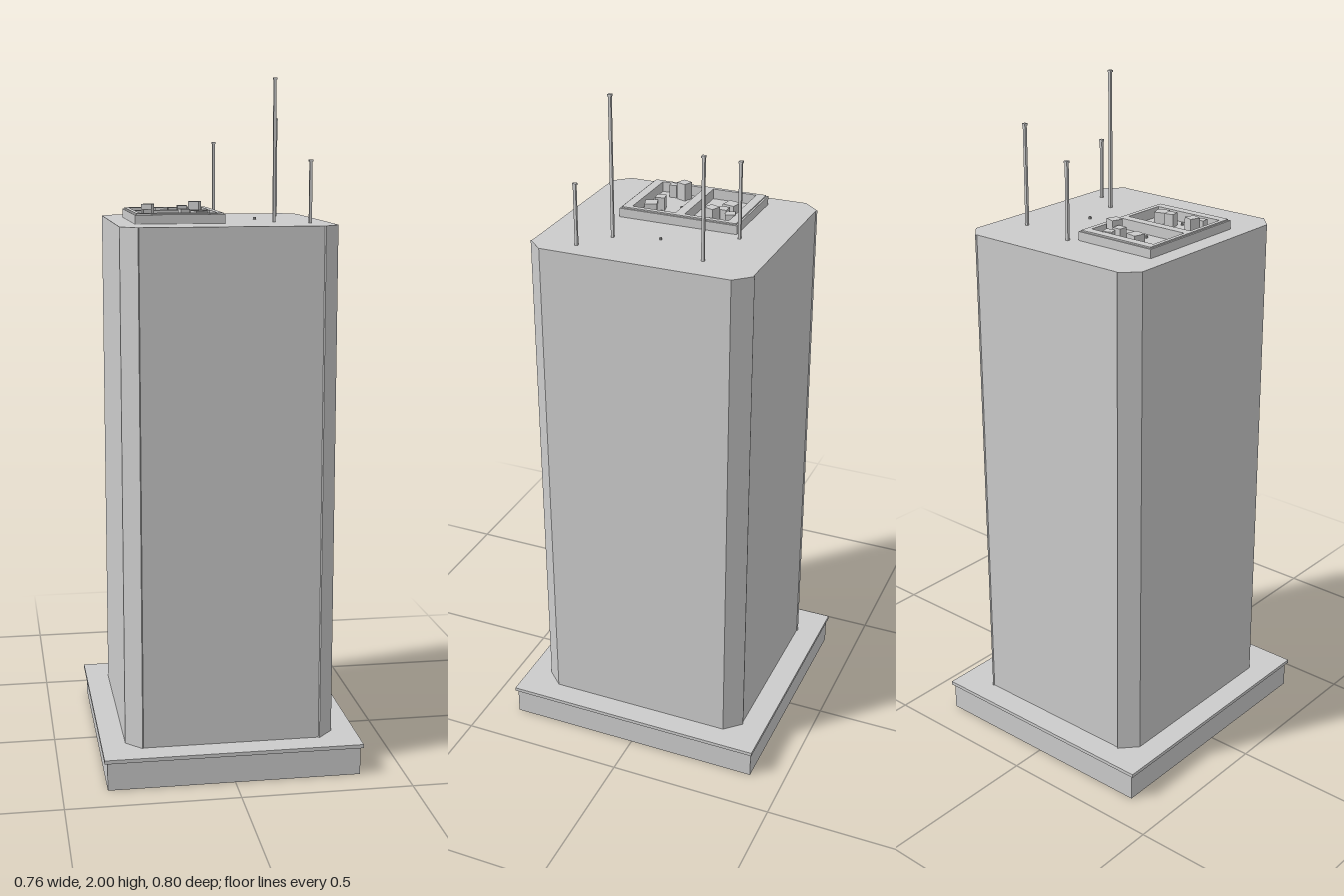
import * as THREE from 'three';

const ROOF = 1.593;

export function createModel() {
  const model = new THREE.Group();
  model.name = 'tower';
  const concrete = new THREE.MeshStandardMaterial({ color: 0xcccccc, flatShading: true });
  concrete.name = 'pale grey';

  const add = (name, geometry, x = 0, y = 0, z = 0, parent = model) => {
    const mesh = new THREE.Mesh(geometry, concrete);
    mesh.name = name;
    mesh.position.set(x, y, z);
    parent.add(mesh);
    return mesh;
  };
  // Plan outlines use (x, -z), so that an extrusion turned upright keeps x and z
  const rect = (x0, x1, z0, z1) =>
    [[x0, -z1], [x1, -z1], [x1, -z0], [x0, -z0]].map(([x, y]) => new THREE.Vector2(x, y));
  const prism = (outline, height, holes = []) => {
    const shape = new THREE.Shape(outline);
    holes.forEach((h) => shape.holes.push(new THREE.Path(h)));
    return new THREE.ExtrudeGeometry(shape, { depth: height, bevelEnabled: false }).rotateX(-Math.PI / 2);
  };

  // Plinth: hollow skirt, open below, under an overhanging slab
  add('plinthSkirt', prism(rect(-0.37, 0.37, -0.396, 0.396), 0.083,
    [rect(-0.368, 0.368, -0.394, 0.394)]));
  add('plinthSlab', new THREE.BoxGeometry(0.757, 0.011, 0.803), 0, 0.0875, 0);

  // Shaft with chamfered corners, each chamfer standing slightly proud
  const corner = [[0.308, 0.282], [0.262, 0.331], [0.259, 0.327]];
  const outline = [];
  [[1, 1], [-1, 1], [-1, -1], [1, -1]].forEach(([sx, sy]) => {
    const pts = sx * sy > 0 ? corner : [...corner].reverse();
    pts.forEach(([x, y]) => outline.push(new THREE.Vector2(sx * x, sy * y)));
  });
  add('shaft', prism(outline, ROOF - 0.093), 0, 0.093, 0);

  // Roof plant enclosure with two open bays and a stepped rim
  const bays = [rect(-0.237, -0.016, -0.15, -0.016), rect(-0.237, -0.016, 0.012, 0.146)];
  add('plantEnclosure', prism(rect(-0.254, 0.004, -0.182, 0.178), 0.026, bays), 0, ROOF, 0);
  add('plantRim', prism(rect(-0.249, -0.001, -0.177, 0.173), 0.004, bays), 0, ROOF + 0.026, 0);

  // Air handling units: x, z, size, top, turn
  const units = [
    [-0.142, -0.110, 0.037, 1.625, -0.23],
    [-0.067, -0.135, 0.029, 1.625, 0.30],
    [-0.082, -0.108, 0.028, 1.631, -0.03],
    [-0.046, -0.087, 0.032, 1.644, -0.35],
    [-0.205, 0.063, 0.031, 1.644, -0.35],
    [-0.211, 0.099, 0.023, 1.631, 0.10],
    [-0.103, 0.095, 0.028, 1.631, 0.20],
    [-0.061, 0.107, 0.036, 1.626, 0.33],
  ];
  const plant = new THREE.Group();
  plant.name = 'airUnits';
  model.add(plant);
  units.forEach(([x, z, s, top, turn]) => {
    const h = top - ROOF;
    add('airUnit', new THREE.BoxGeometry(s, h, s), x, ROOF + h / 2, z, plant).rotation.y = turn;
  });

  // Small round vents
  [[-0.125, -0.042], [-0.125, 0.039], [-0.125, 0.12], [0.121, -0.001]].forEach(([x, z]) =>
    add('vent', new THREE.CylinderGeometry(0.004, 0.004, 0.007, 8), x, ROOF + 0.0035, z));

  // Masts with square caps: x, z, top
  [[0.029, -0.2, 1.818], [0.216, -0.166, 1.888], [0.154, 0.13, 2.0], [0.246, 0.197, 1.772]]
    .forEach(([x, z, top]) => {
      const mast = new THREE.Group();
      mast.name = 'mast';
      model.add(mast);
      const h = top - ROOF;
      add('mastRod', new THREE.BoxGeometry(0.008, h, 0.008), x, ROOF + h / 2, z, mast);
      add('mastCap', new THREE.BoxGeometry(0.011, 0.006, 0.011), x, top - 0.003, z, mast);
    });

  return model;
}
